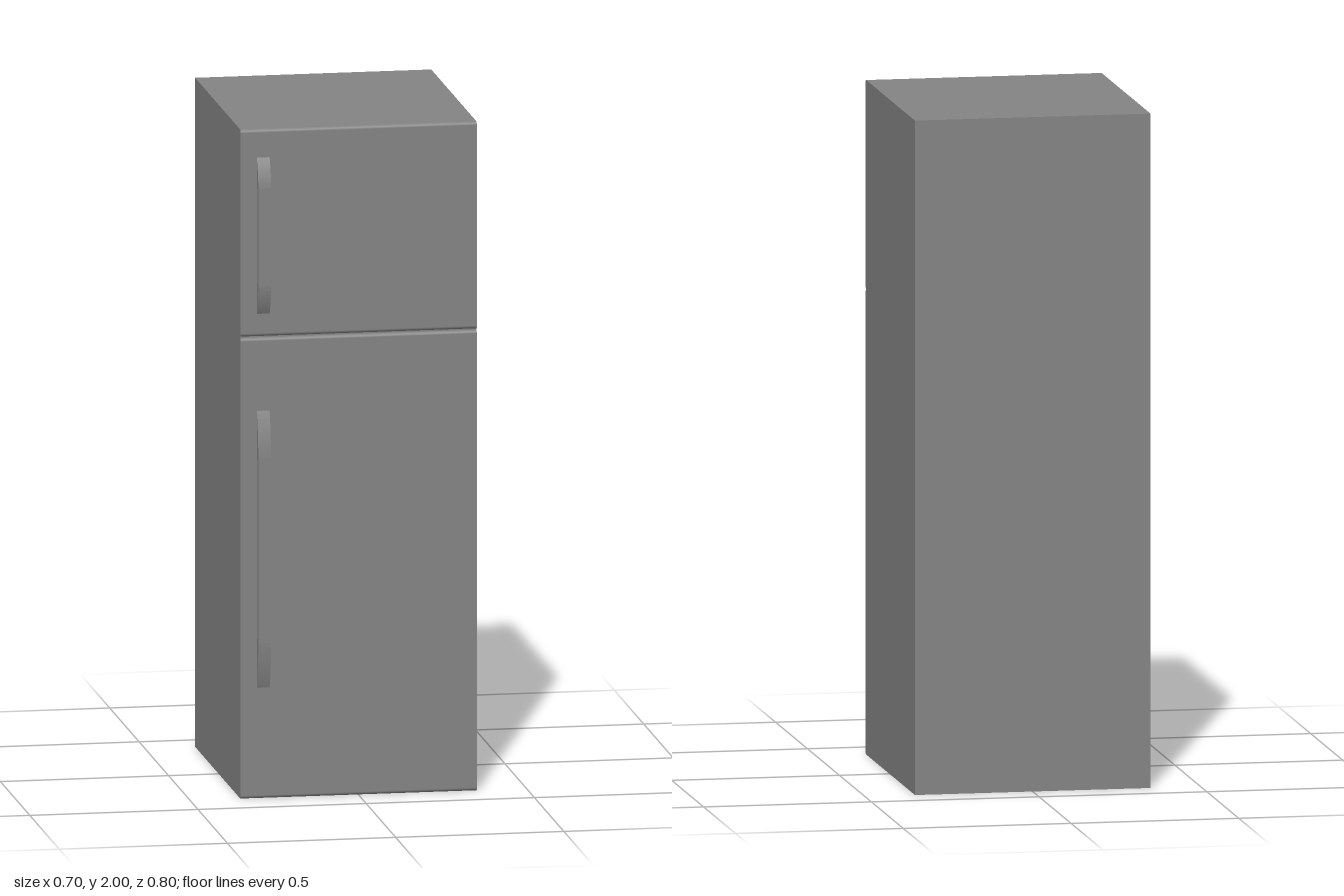
import * as THREE from 'three';

const WIDTH = 0.702, HEIGHT = 2, BACK = -0.4, FRONT = 0.374, R = 0.01;
const SEAM = 1.379, HALF_GAP = 0.002;
const material = new THREE.MeshStandardMaterial({ color: 0x838383 });

// Extrude a side profile drawn in (z, y) across x, centred on the given x.
function sideExtrude(name, shape, width, x) {
  const geometry = new THREE.ExtrudeGeometry(shape, { depth: width, bevelEnabled: false, curveSegments: 16 });
  geometry.rotateY(-Math.PI / 2).translate(x + width / 2, 0, 0);
  const mesh = new THREE.Mesh(geometry, material);
  mesh.name = name;
  return mesh;
}

// Cabinet outline: each door front has softly rounded top and bottom edges,
// with a narrow groove between the doors.
function cabinetShape() {
  const s = new THREE.Shape();
  s.moveTo(BACK, 0);
  for (const [bottom, top] of [[0, SEAM - HALF_GAP], [SEAM + HALF_GAP, HEIGHT]]) {
    s.lineTo(FRONT - R, bottom);
    s.absarc(FRONT - R, bottom + R, R, -Math.PI / 2, 0, false);
    s.absarc(FRONT - R, top - R, R, 0, Math.PI / 2, false);
  }
  s.lineTo(BACK, HEIGHT);
  s.closePath();
  return s;
}

// Bowed grip: the outer and inner curves both meet the door at the two ends.
function handleShape(bottom, top, bend, foot) {
  const outer = 0.4, inner = 0.389, root = FRONT - 0.001, innerBend = bend * 0.8;
  const s = new THREE.Shape();
  s.moveTo(root, bottom);
  s.quadraticCurveTo(outer - 0.003, bottom + bend * 0.5, outer, bottom + bend);
  s.lineTo(outer, top - bend);
  s.quadraticCurveTo(outer - 0.003, top - bend * 0.5, root, top);
  s.lineTo(root, top - foot);
  s.quadraticCurveTo(inner - 0.002, top - foot - innerBend * 0.5, inner, top - foot - innerBend);
  s.lineTo(inner, bottom + foot + innerBend);
  s.quadraticCurveTo(inner - 0.002, bottom + foot + innerBend * 0.5, root, bottom + foot);
  s.closePath();
  return s;
}

export function createModel() {
  const group = new THREE.Group();
  group.name = 'refrigerator';
  group.add(sideExtrude('cabinetAndDoors', cabinetShape(), WIDTH, 0));
  group.add(sideExtrude('freezerHandle', handleShape(1.447, 1.918, 0.09, 0.072), 0.038, -0.284));
  group.add(sideExtrude('fridgeHandle', handleShape(0.328, 1.162, 0.14, 0.115), 0.038, -0.284));
  return group;
}
